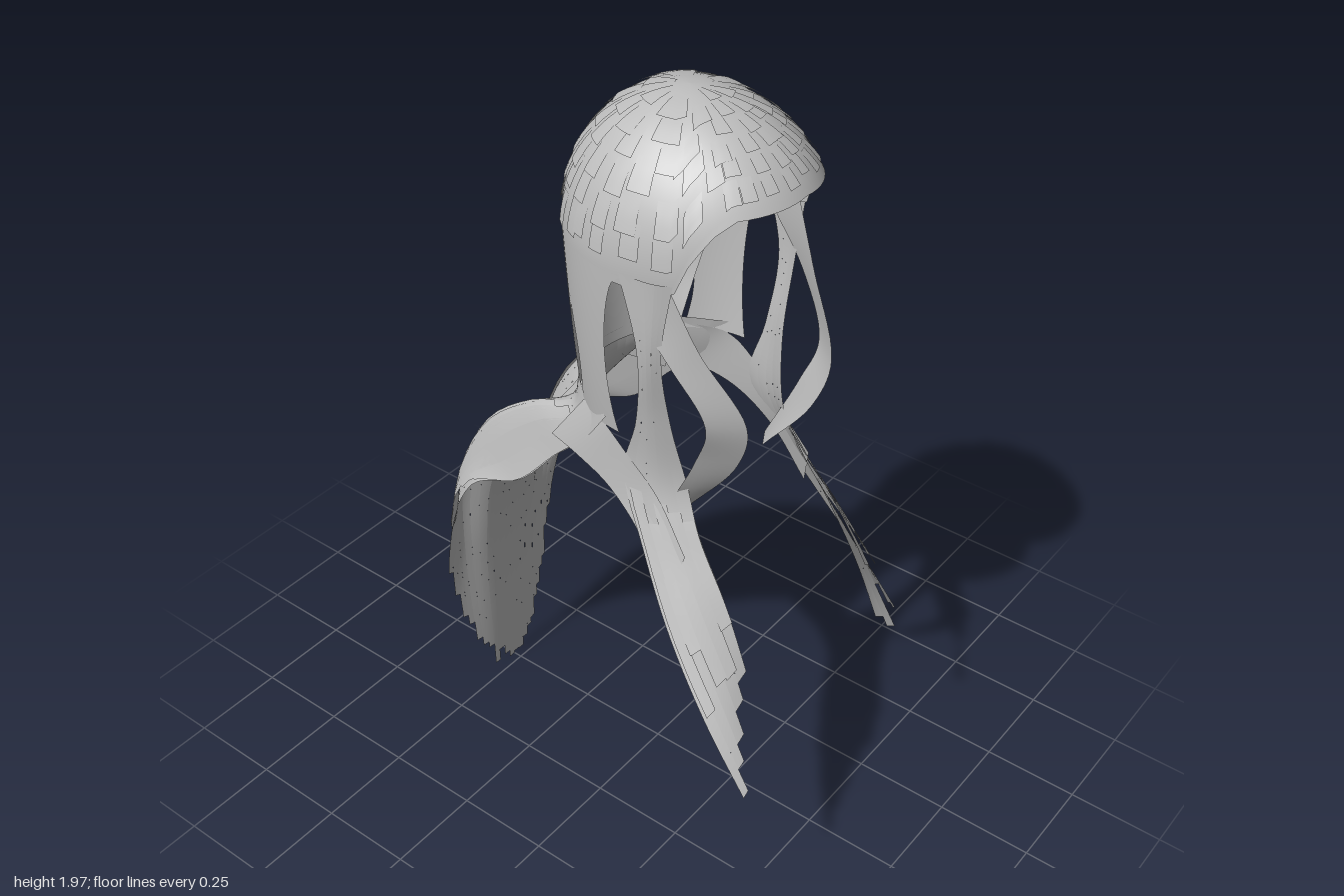
import * as THREE from 'three';
import { mergeGeometries } from 'three/addons/utils/BufferGeometryUtils.js';

const V = (x, y, z) => new THREE.Vector3(x, y, z);
const { lerp, clamp, degToRad } = THREE.MathUtils;
const MID = V(0, 1, 0.05);

// small seeded random
function seeded(seed) {
  let s = seed;
  return () => ((s = (s * 16807) % 2147483647) / 2147483647);
}

// smooth surface through rows of points; u runs across a row, v from row to row
function loft(rows) {
  const cols = rows[0].map((_, i) => new THREE.CatmullRomCurve3(rows.map((r) => V(...r[i]))));
  return (u, v) => new THREE.CatmullRomCurve3(cols.map((c) => c.getPoint(v))).getPoint(u);
}

// piece of a surface, lifted outwards from lift0 (start) to lift1 (end)
function patch(surf, [u0, u1], [v0, v1], nu, nv, lift0 = 0, lift1 = lift0) {
  const pos = [], index = [], e = 0.002;
  for (let j = 0; j <= nv; j++) for (let i = 0; i <= nu; i++) {
    const u = lerp(u0, u1, i / nu), v = lerp(v0, v1, j / nv), p = surf(u, v);
    const lift = lerp(lift0, lift1, j / nv);
    if (lift) {
      const du = surf(Math.min(u + e, 1), v).sub(surf(Math.max(u - e, 0), v));
      const dv = surf(u, Math.min(v + e, 1)).sub(surf(u, Math.max(v - e, 0)));
      const n = du.cross(dv).normalize();
      p.addScaledVector(n, n.dot(p.clone().sub(MID)) < 0 ? -lift : lift);
    }
    pos.push(p.x, p.y, p.z);
    if (i < nu && j < nv) {
      const a = j * (nu + 1) + i, b = a + nu + 1;
      index.push(a, b, a + 1, b, b + 1, a + 1);
    }
  }
  const g = new THREE.BufferGeometry();
  g.setAttribute('position', new THREE.Float32BufferAttribute(pos, 3));
  g.setIndex(index);
  g.computeVertexNormals();
  return g;
}

// head shape: angle a is 0 at the front and PI at the back
const BROW = 1.68;
const hairline = [[0, 1.84], [41, 1.825], [52, 1.79], [60, 1.73], [66, 1.65], [180, 1.65]];
function hairlineY(a) {
  const d = Math.abs(a) * 180 / Math.PI;
  let i = 0;
  while (i < hairline.length - 2 && d > hairline[i + 1][0]) i++;
  const [d0, y0] = hairline[i], [d1, y1] = hairline[i + 1];
  return lerp(y0, y1, clamp((d - d0) / (d1 - d0), 0, 1));
}
const onOval = (a, y, rx, rb, rf) =>
  V(rx * Math.sin(a), y, 0.08 + Math.cos(a) * (Math.cos(a) > 0 ? rf : rb));
function dome(u, v) {
  const a = lerp(-Math.PI, Math.PI, u);
  const f = lerp(Math.PI / 2, Math.asin((hairlineY(a) - BROW) / 0.32), v), c = Math.cos(f);
  return onOval(a, BROW + 0.32 * Math.sin(f), 0.268 * c, 0.28 * c, 0.35 * c);
}
function column(a, y) {
  const t = BROW - y;
  return onOval(a, y, 0.268 - 0.14 * t * t, 0.28 - 0.08 * t, 0.35);
}

// side walls from the temple to the back, with a slit between the two panels
function wall(side, from, to) {
  return (u, v) => {
    const y = lerp(1.67, 1.24, v);
    return column(side * degToRad(lerp(from(y), to(y), u)), y);
  };
}
const bulge = (y, lo, hi) => Math.sin(Math.PI * clamp((y - lo) / (hi - lo), 0, 1));
const templeEdge = (y) => 86 + 10 * Math.sqrt(bulge(y, 1.2, 1.67));
const slitFront = (y) => 128 - 5 * bulge(y, 1.24, 1.5);
const slitBack = (y) => 128 + 5 * bulge(y, 1.24, 1.5);

// half rows of the back fall: centre, inner, raised side band, edge
const backRows = [
  [[0, 1.27, -0.167], [0.09, 1.27, -0.15], [0.165, 1.27, -0.103], [0.245, 1.27, 0.04]],
  [[0, 1.19, -0.175], [0.09, 1.19, -0.16], [0.165, 1.2, -0.125], [0.23, 1.16, -0.04]],
  [[0, 1.09, -0.225], [0.09, 1.1, -0.225], [0.165, 1.14, -0.25], [0.215, 1.06, -0.14]],
  [[0, 0.95, -0.35], [0.09, 0.96, -0.36], [0.165, 1.02, -0.395], [0.225, 0.94, -0.25]],
  [[0, 0.76, -0.455], [0.09, 0.76, -0.465], [0.165, 0.8, -0.505], [0.225, 0.84, -0.42]],
  [[0, 0.5, -0.51], [0.08, 0.5, -0.515], [0.155, 0.5, -0.54], [0.21, 0.52, -0.54]],
  [[0, 0, -0.525], [0.07, 0, -0.525], [0.13, 0, -0.53], [0.19, 0, -0.535]],
].map((h) => [...h.slice(1).reverse().map(([x, y, z]) => [-x, y, z]), ...h]);

// rows of the left-hand locks, front edge to rear edge
const sideRows = [
  [[0.245, 1.68, 0.225], [0.262, 1.68, 0.18], [0.268, 1.68, 0.1]],
  [[0.25, 1.5, 0.2], [0.262, 1.5, 0.175], [0.265, 1.5, 0.145]],
  [[0.215, 1.3, 0.2], [0.237, 1.3, 0.16], [0.247, 1.3, 0.128]],
  [[0.19, 1.13, 0.23], [0.23, 1.13, 0.165], [0.245, 1.14, 0.09]],
  [[0.205, 1.02, 0.275], [0.25, 1.0, 0.22], [0.275, 0.98, 0.165]],
  [[0.22, 0.88, 0.36], [0.28, 0.84, 0.32], [0.318, 0.8, 0.275]],
  [[0.237, 0.72, 0.44], [0.302, 0.67, 0.43], [0.352, 0.62, 0.41]],
  [[0.25, 0.53, 0.515], [0.32, 0.49, 0.535], [0.365, 0.46, 0.535]],
];
const curlRows = [
  [[0.24, 1.67, 0.21], [0.264, 1.6, 0.13]],
  [[0.215, 1.52, 0.275], [0.25, 1.48, 0.225]],
  [[0.165, 1.34, 0.368], [0.22, 1.34, 0.297]],
  [[0.15, 1.21, 0.335], [0.205, 1.22, 0.26]],
  [[0.15, 1.03, 0.2], [0.21, 1.02, 0.165]],
];
const shoulderRows = [
  [[0.2, 1.25, -0.06], [0.215, 1.12, -0.15]],
  [[0.235, 1.24, 0.03], [0.235, 1.11, -0.05]],
  [[0.243, 1.19, 0.1], [0.25, 1.08, 0.05]],
  [[0.235, 1.1, 0.18], [0.265, 1.0, 0.15]],
  [[0.25, 0.98, 0.27], [0.285, 0.86, 0.24]],
];
const innerRows = [
  [[0.24, 1.6, 0.0], [0.17, 1.6, -0.13]],
  [[0.185, 1.42, -0.03], [0.14, 1.42, -0.135]],
  [[0.14, 1.27, -0.05], [0.125, 1.27, -0.125]],
  [[0.155, 1.13, -0.1], [0.14, 1.13, -0.21]],
];

export function createModel() {
  const group = new THREE.Group();
  const hair = new THREE.MeshStandardMaterial({ color: 0xbcbcbc, side: THREE.DoubleSide });
  hair.name = 'grey hair';
  const add = (name, parts) => {
    const mesh = new THREE.Mesh(mergeGeometries(parts), hair);
    mesh.name = name;
    group.add(mesh);
  };
  const rand = seeded(77);

  // crown with short overlapping strands
  add('crown', [patch(dome, [0, 1], [0, 1], 72, 20)]);
  const strands = [];
  for (let ring = 0; ring < 6; ring++) {
    const n = 8 + ring * 4;
    for (let i = 0; i < n; i++) {
      const u = clamp((i + rand() * 0.6) / n, 0, 0.94), v = 0.06 + ring * 0.13 + rand() * 0.06;
      strands.push(patch(dome, [u, u + 0.6 / n], [v, v + 0.15], 3, 3, 0.001, 0.005));
    }
  }
  add('crownStrands', strands);

  // back fall in strips with ragged ends
  const back = loft(backRows), strips = [], count = 22;
  for (let i = 0; i < count; i++) {
    const u0 = i / count, u1 = (i + 1) / count, f = Math.abs(u0 + u1 - 1);
    const endY = 0.005 + 0.46 * f * f + rand() * 0.07;
    strips.push(patch(back, [u0, u1], [0, 1 - endY / 3.2], 2, 36));
  }
  add('backFall', strips);

  // layered strands on both edges of the back fall
  const edges = [];
  for (const side of [0, 1]) for (let i = 0; i < 9; i++) {
    const w = 0.015 * i, a = side ? 0.95 - w : w, v = 0.18 + rand() * 0.12;
    edges.push(patch(back, [a, a + 0.05], [v, 0.6 + 0.03 * i + rand() * 0.06], 2, 14, 0.004, 0.012));
  }
  add('backEdgeStrands', edges);

  for (const s of [1, -1]) {
    const side = s > 0 ? 'left' : 'right';
    const mirrored = (rows) => loft(rows.map((r) => r.map(([x, y, z]) => [s * x, y, z])));

    add(side + 'Wall', [
      patch(wall(s, templeEdge, slitFront), [0, 1], [0, 1], 10, 24),
      patch(wall(s, slitBack, () => 180), [0, 1], [0, 1], 14, 24),
    ]);

    // inner layer behind the slit
    add(side + 'InnerLayer', [patch(mirrored(innerRows), [0, 1], [0, 1], 5, 20)]);

    // long lock over the shoulder, split into tips of different length
    const lock = mirrored(sideRows), ends = s > 0 ? [0.97, 0.99, 0.9, 0.94, 0.95] : [0.86, 0.89, 0.93, 0.96, 1];
    const tips = ends.map((end, i) => patch(lock, [i / 5, (i + 1) / 5], [0, end], 2, 40));
    for (let i = 0; i < 5; i++) {
      const u = 0.18 * i, v = 0.45 + rand() * 0.1;
      tips.push(patch(lock, [u, u + 0.2], [v, 0.74 + rand() * 0.14], 2, 10, 0.003, 0.018));
    }
    add(side + 'ShoulderLock', tips);

    // curl framing the face
    add(side + 'FaceCurl', [patch(mirrored(curlRows), [0, 1], [0, 1], 5, 30)]);

    // hair resting on the shoulder
    add(side + 'ShoulderSweep', [patch(mirrored(shoulderRows), [0, 1], [0, 1], 5, 24)]);
  }
  return group;
}
